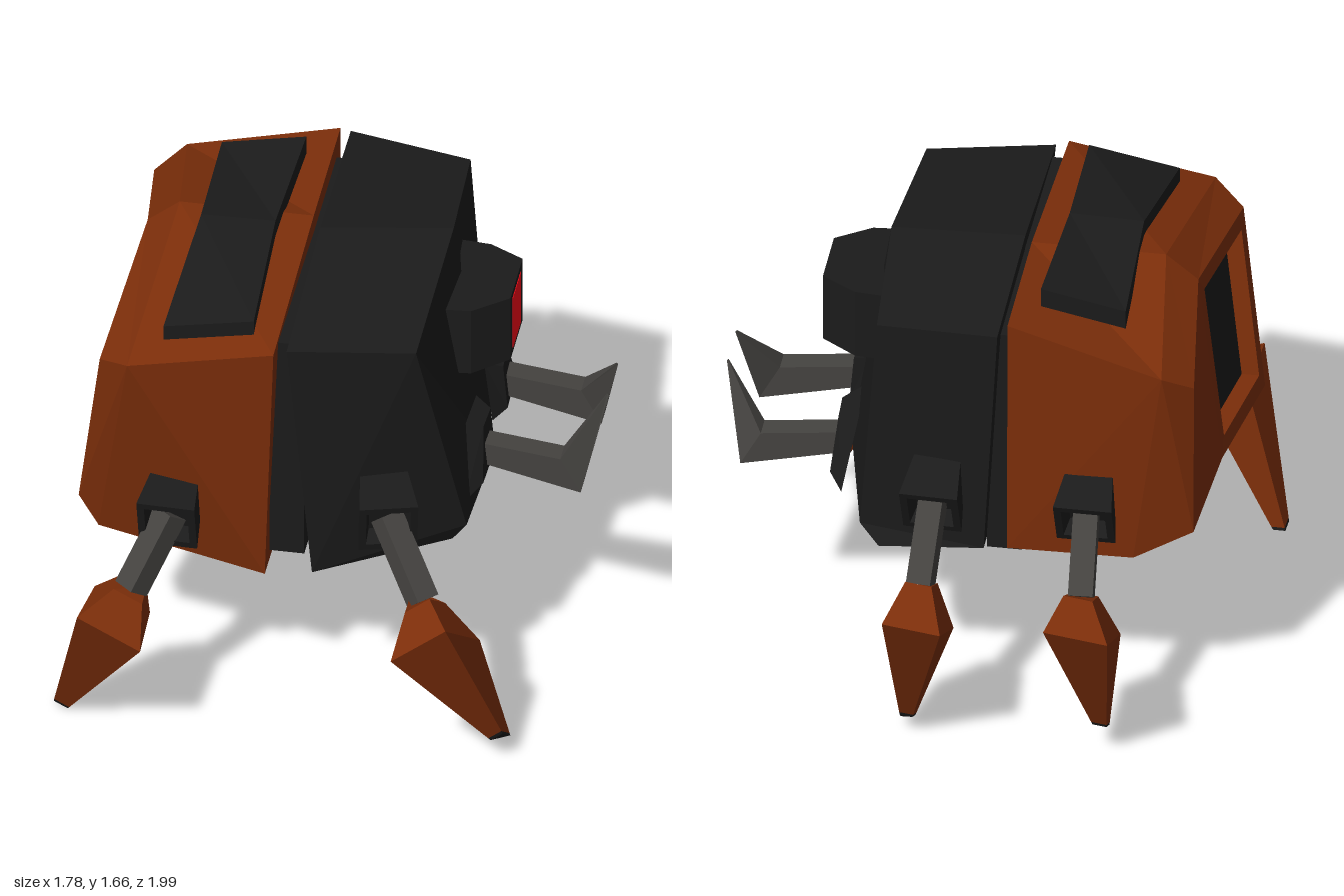
import * as THREE from 'three';

const mat = (color) => new THREE.MeshStandardMaterial({ color, flatShading: true, side: THREE.DoubleSide });
const V = (p) => new THREE.Vector3(...p);

// Skin through rings of points, closed at both ends; skip = [ring, side] leaves one opening
function loft(rings, { caps = true, skip = null } = {}) {
  const tris = [];
  const n = rings[0].length;
  for (let r = 0; r < rings.length - 1; r++) {
    for (let i = 0; i < n; i++) {
      if (skip && skip[0] === r && skip[1] === i) continue;
      const j = (i + 1) % n;
      const [a, b, c, d] = [rings[r][i], rings[r][j], rings[r + 1][j], rings[r + 1][i]];
      tris.push([a, b, c], [a, c, d]);
    }
  }
  if (caps) {
    const first = rings[0], last = rings[rings.length - 1];
    for (let i = 1; i < n - 1; i++) {
      tris.push([first[0], first[i + 1], first[i]], [last[0], last[i], last[i + 1]]);
    }
  }
  // a negative enclosed volume means the skin is inside out
  let volume = 0;
  const mid = centre(rings.flat());
  for (const [a, b, c] of tris) {
    const [p, q, s] = [a, b, c].map((t) => V(t).sub(mid));
    volume += p.dot(q.cross(s));
  }
  if (volume < 0) tris.forEach((t) => t.reverse());
  const g = new THREE.BufferGeometry();
  g.setAttribute('position', new THREE.Float32BufferAttribute(tris.flat(2), 3));
  g.computeVertexNormals();
  return g;
}

function centre(points) {
  const c = new THREE.Vector3();
  points.forEach((p) => c.add(V(p)));
  return c.divideScalar(points.length);
}

// Copy of a ring, scaled about its centre and moved to a new centre
function rescale(ring, k, to = null) {
  const c = centre(ring);
  const t = to ? V(to) : c;
  return ring.map((p) => V(p).sub(c).multiplyScalar(k).add(t).toArray());
}

// Square ring at p, facing along dir
function square(p, dir, r) {
  const u = new THREE.Vector3(0, 1, 0).cross(dir).normalize();
  const v = dir.clone().cross(u).normalize();
  return [[1, 1], [-1, 1], [-1, -1], [1, -1]].map(([s, t]) =>
    V(p).addScaledVector(u, s * r).addScaledVector(v, t * r).toArray());
}

export function createModel() {
  const model = new THREE.Group();
  const brown = mat(0x7c2e0a), black = mat(0x1b1b1b), grey = mat(0x454340), red = mat(0xff0818);
  const add = (name, geometry, material, parent = model) => {
    const m = new THREE.Mesh(geometry, material);
    m.name = name;
    parent.add(m);
    return m;
  };

  // Rear shell: three cross-sections from front to back, open where the hatch sits
  const rear = [
    [[-.65, 1.43, .68], [-.76, 1.38, .59], [-.85, .73, .49], [-.78, .62, .5], [-.19, .57, .61], [-.15, 1.53, .67]],
    [[-.6, 1.6, -.05], [-.71, 1.51, -.05], [-.78, .74, .02], [-.7, .65, -.05], [-.17, .64, -.05], [-.14, 1.6, -.05]],
    [[-.67, 1.45, -.58], [-.77, 1.38, -.51], [-.77, .8, -.52], [-.57, .7, -.56], [-.14, .7, -.57], [-.14, 1.6, -.56]],
  ];
  add('rearShell', loft(rear, { skip: [0, 1] }), brown);

  // Hatch: a frame around a sunken dark panel
  const rim = [rear[0][1], rear[0][2], rear[1][2], rear[1][1]];
  const hole = rescale(rim, 0.82);
  const sunk = hole.map(([x, y, z]) => [x + 0.06, y, z]);
  add('hatchFrame', loft([rim, hole, sunk], { caps: false }), brown);
  add('hatchPanel', loft([sunk, sunk.map(([x, y, z]) => [x + 0.01, y, z])]), black);

  // Bent plate on the back
  const plate = [[.57, -.545, -.235, 1.53, 1.59], [.07, -.505, -.25, 1.645, 1.65], [-.41, -.52, -.23, 1.6, 1.66]];
  add('backPlate', loft(plate.map(([z, x0, x1, y0, y1]) =>
    [[x0, y0 - .07, z], [x1, y1 - .07, z], [x1, y1, z], [x0, y0, z]])), black);

  // Neck between shell and head
  add('neck', new THREE.BoxGeometry(.12, .87, 1.08).translate(-.12, 1.085, .04), black);

  // Head: three cross-sections from front to back
  add('head', loft([
    [[-.03, .59, .6], [-.11, 1.53, .64], [.32, 1.52, .56], [.47, .73, .43], [.42, .66, .42]],
    [[-.05, .65, 0], [-.11, 1.59, 0], [.34, 1.61, -.05], [.485, .72, 0], [.44, .66, 0]],
    [[-.06, .69, -.57], [-.11, 1.57, -.59], [.31, 1.54, -.54], [.37, .72, -.53], [.3, .66, -.57]],
  ]), black);

  // Eye: tapered housing with a red lens
  const eyeRing = (x, z0, z1, y0, y1) => [[x, y0, z0], [x, y1, z0], [x, y1, z1], [x, y0, z1]];
  add('eyeHousing', loft([
    eyeRing(.32, -.22, .19, 1.18, 1.44), eyeRing(.44, -.21, .18, 1.18, 1.44), eyeRing(.56, -.14, .09, 1.19, 1.445),
  ]), black);
  add('eyeLens', new THREE.BoxGeometry(.01, .21, .15).translate(.557, 1.315, -.025), red);

  // Tusks with wedge-shaped sockets, mirrored about the middle of the face
  for (const side of [1, -1]) {
    const m = (ring) => ring.map(([x, y, z]) => [x, y, -.04 + side * (z + .04)]);
    const tusk = new THREE.Group();
    tusk.name = side > 0 ? 'rightTusk' : 'leftTusk';
    model.add(tusk);
    add('tuskSocket', loft([
      m([[.46, .77, .04], [.45, .77, .35], [.41, 1, .22], [.43, 1, .05]]),
      m([[.505, .8, .08], [.5, .8, .28], [.485, .97, .19], [.49, .97, .08]]),
    ]), black, tusk);
    add('tuskHorn', loft([
      m([[.46, .83, .12], [.46, .83, .2], [.46, .91, .2], [.46, .91, .12]]),
      m([[.82, .745, .12], [.82, .745, .2], [.75, .875, .2], [.75, .875, .12]]),
      m([[.89, 1.055, .045], [.89, 1.055, .05], [.885, 1.06, .05], [.885, 1.06, .045]]),
    ]), grey, tusk);
  }

  // Legs: socket with a sunken end, rod, and a foot that tapers from the knee to a toe
  const legs = [
    { name: 'rearRightLeg', hip: [-.5, .86, .55], cup: [-.505, .815, .73], knee: [-.615, .59, .8], toe: [-.865, .025, .7],
      ring: [[-.77, .57, .97], [-.55, .47, .99], [-.55, .5, .8], [-.75, .54, .74]] },
    { name: 'frontRightLeg', hip: [.2, .92, .52], cup: [.25, .88, .7], knee: [.385, .66, .79], toe: [.635, .115, .75],
      ring: [[.31, .54, .99], [.33, .61, .78], [.56, .44, .68], [.49, .66, .95]] },
    { name: 'rearLeftLeg', hip: [-.42, .96, -.52], cup: [-.42, .89, -.67], knee: [-.43, .68, -.79], toe: [-.485, .125, -.72],
      ring: [[-.55, .62, -.98], [-.33, .65, -.98], [-.34, .48, -.69], [-.55, .48, -.7]] },
    { name: 'frontLeftLeg', hip: [.1, .96, -.52], cup: [.105, .89, -.68], knee: [.12, .67, -.79], toe: [.18, .075, -.7],
      ring: [[.02, .61, -1], [.22, .63, -.99], [.25, .39, -.69], [.02, .45, -.71]] },
  ];
  for (const { name, hip, cup, knee, toe, ring } of legs) {
    const leg = new THREE.Group();
    leg.name = name;
    model.add(leg);
    const dir = V(cup).sub(V(hip)).normalize();
    const inner = V(cup).addScaledVector(dir, -.06).toArray();
    add('legSocket', loft([
      square(hip, dir, .08), square(cup, dir, .1), square(cup, dir, .075), square(inner, dir, .06),
    ]), black, leg);
    const along = V(knee).sub(V(inner)).normalize();
    add('legRod', loft([square(inner, along, .042), square(knee, along, .042)]), grey, leg);
    const end = rescale(ring, .24, toe);
    add('foot', loft([rescale(ring, .45, knee), ring, end]), brown, leg);
    const tip = V(toe).sub(centre(ring)).setLength(.012).add(V(toe)).toArray();
    add('toeTip', loft([end, rescale(ring, .22, tip)]), black, leg);
  }
  return model;
}
